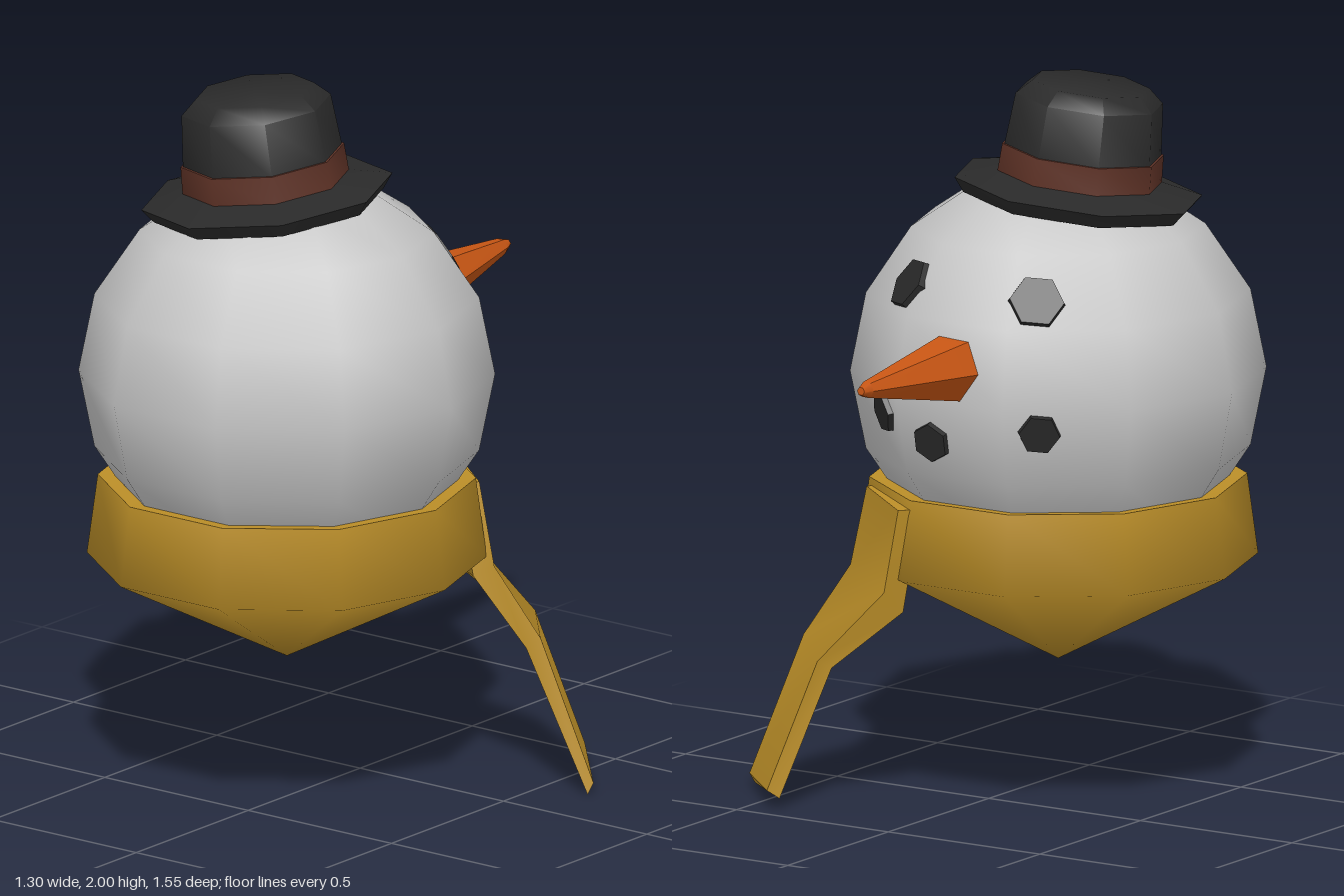
import * as THREE from 'three';
import { toCreasedNormals } from 'three/addons/utils/BufferGeometryUtils.js';

const mat = (name, color) => {
  const m = new THREE.MeshStandardMaterial({ color });
  m.name = name;
  return m;
};

function lathe(points, sides, crease, phi = 0) {
  const profile = points.map(([r, y]) => new THREE.Vector2(r, y));
  return toCreasedNormals(new THREE.LatheGeometry(profile, sides, phi), crease);
}

// Closed strip through four-cornered sections, listed from top to bottom
function strip(sections) {
  const index = [];
  const n = sections.length;
  for (let i = 0; i < n - 1; i++) {
    for (let k = 0; k < 4; k++) {
      const a = i * 4 + k, b = i * 4 + (k + 1) % 4;
      index.push(a, b, b + 4, a, b + 4, a + 4);
    }
  }
  const e = (n - 1) * 4;
  index.push(0, 2, 1, 0, 3, 2, e, e + 1, e + 2, e, e + 2, e + 3);
  const g = new THREE.BufferGeometry();
  g.setAttribute('position', new THREE.Float32BufferAttribute(sections.flat(2), 3));
  g.setIndex(index);
  return toCreasedNormals(g, 0.7);
}

export function createModel() {
  const model = new THREE.Group();
  const snow = mat('snow', 0xc6c6c6);
  const cloth = mat('mustard cloth', 0xbc8f28);
  const carrot = mat('carrot orange', 0xc85614);
  const felt = mat('black felt', 0x2a2a2a);
  const ribbon = mat('brown ribbon', 0x5e3226);
  const coal = mat('coal', 0x292929);

  const add = (name, geometry, material, parent = model) => {
    const mesh = new THREE.Mesh(geometry, material);
    mesh.name = name;
    parent.add(mesh);
    return mesh;
  };

  // Head
  const centre = new THREE.Vector3(-0.08, 1.18, 0.225);
  const head = add('head', new THREE.SphereGeometry(0.573, 10, 8), snow);
  head.position.copy(centre);
  head.updateMatrixWorld(true);

  // Coal pieces, laid flat on the facet that each direction meets
  const up = new THREE.Vector3(0, 1, 0);
  const addCoal = (name, x, y, z, radius) => {
    const dir = new THREE.Vector3(x, y, z).normalize();
    const start = centre.clone().addScaledVector(dir, 2);
    const hit = new THREE.Raycaster(start, dir.clone().negate()).intersectObject(head)[0];
    const g = toCreasedNormals(new THREE.CylinderGeometry(radius * 0.92, radius, 0.03, 6), 0.5);
    const piece = add(name, g, coal);
    piece.position.copy(hit.point);
    piece.quaternion.setFromUnitVectors(up, hit.face.normal);
  };
  for (const s of [-1, 1]) {
    addCoal('eye', s * 0.21, 0.295, -0.425, 0.082);
    addCoal('mouthCoal', s * 0.26, -0.065, -0.49, 0.062);
  }
  addCoal('mouthCoal', 0.07, -0.12, -0.54, 0.06);

  // Carrot nose with a blunt tip
  const base = new THREE.Vector3(-0.07, 1.273, -0.27);
  const tip = new THREE.Vector3(-0.092, 1.305, -0.775);
  const axis = tip.clone().sub(base);
  const length = axis.length();
  const nose = add('nose', lathe(
    [[0, 0], [0.1, 0], [0.024, length - 0.03], [0.012, length], [0, length]], 6, 1.0, Math.PI / 2), carrot);
  nose.position.copy(base);
  nose.quaternion.setFromUnitVectors(up, axis.normalize());

  // Scarf wrap, closed to a point below
  const scarf = add('scarf', lathe(
    [[0, 0.363], [0.55, 0.655], [0.52, 0.88], [0.43, 0.87]], 10, 1.3, Math.PI / 2), cloth);
  scarf.position.set(centre.x, 0, centre.z);

  // Scarf tail: outer pair of corners, then inner pair
  add('scarfTail', strip([
    [[0.10, 0.855, -0.30], [0.33, 0.86, -0.11], [0.29, 0.86, -0.06], [0.06, 0.855, -0.25]],
    [[0.14, 0.62, -0.31], [0.39, 0.63, -0.10], [0.34, 0.60, -0.07], [0.11, 0.56, -0.26]],
    [[0.31, 0.42, -0.385], [0.505, 0.43, -0.16], [0.47, 0.40, -0.14], [0.28, 0.40, -0.36]],
    [[0.44, 0.05, -0.44], [0.65, 0.03, -0.21], [0.645, 0.0, -0.19], [0.405, 0.03, -0.43]],
  ]), cloth);

  // Tilted hat
  const hat = new THREE.Group();
  hat.name = 'hat';
  hat.position.set(-0.13, 1.695, 0.25);
  hat.rotation.set(0.065, 0, 0.1);
  model.add(hat);
  add('hatBrim', lathe([[0, -0.04], [0.32, -0.04], [0.35, 0], [0.225, 0.03]], 8, 0.85), felt, hat);
  add('hatBand', lathe([[0.22, 0.02], [0.232, 0.028], [0.228, 0.105], [0.2, 0.107]], 8, 0.85), ribbon, hat);
  add('hatCrown', lathe([[0.222, 0.1], [0.208, 0.25], [0.165, 0.29], [0, 0.29]], 8, 0.85), felt, hat);

  return model;
}
